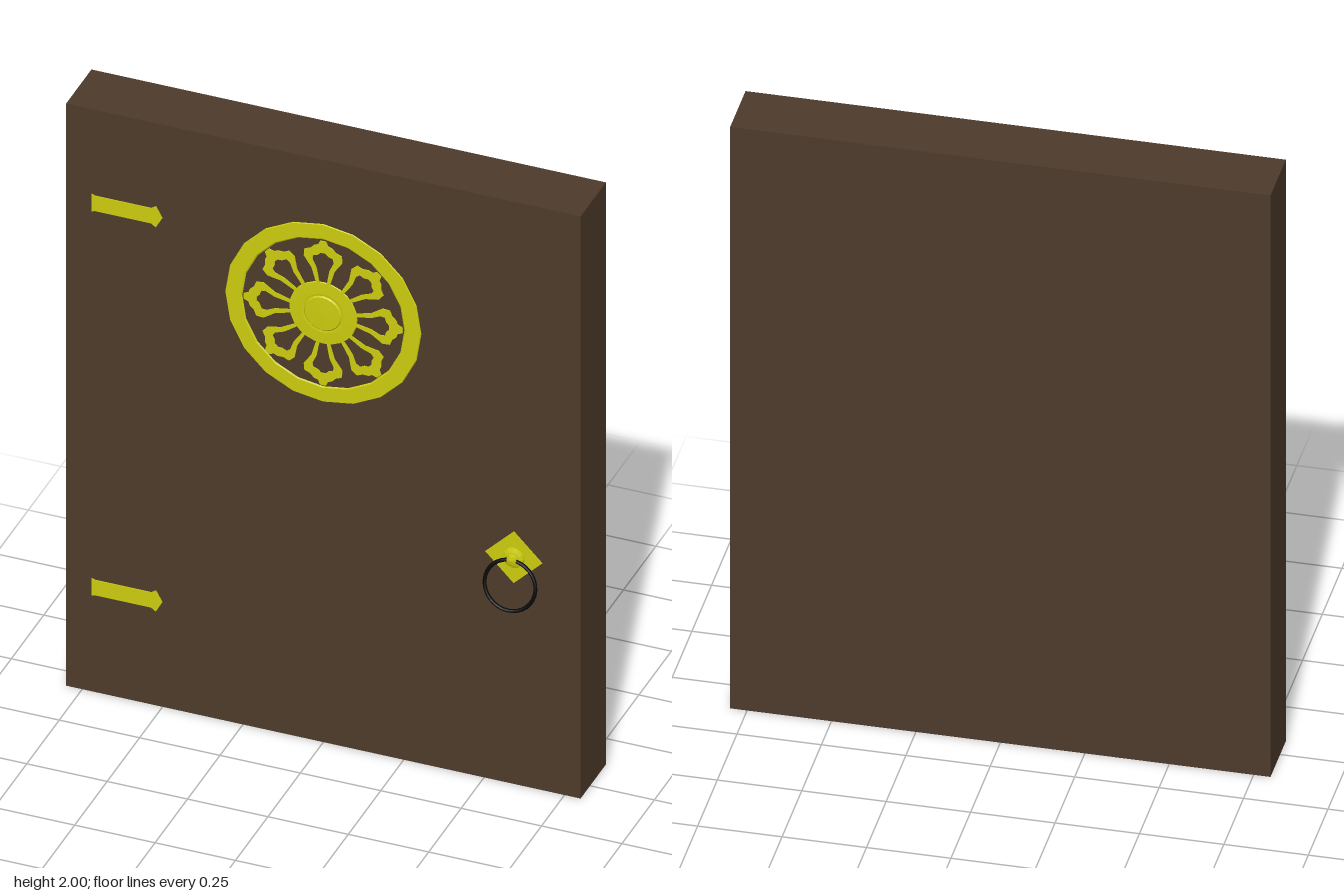
import * as THREE from 'three';

const FACE = 0.073; // z of the door's front surface

const mat = (color) => new THREE.MeshStandardMaterial({ color, flatShading: true });

export function createModel() {
  const group = new THREE.Group();
  const wood = mat(0x4d3b2b), brass = mat(0xcccc10), iron = mat(0x080808);

  const add = (parent, name, geometry, material, x = 0, y = 0, z = 0) => {
    const mesh = new THREE.Mesh(geometry, material);
    mesh.name = name;
    mesh.position.set(x, y, z);
    parent.add(mesh);
    return mesh;
  };
  const plate = (shape, depth) =>
    new THREE.ExtrudeGeometry(shape, { depth, bevelEnabled: false, curveSegments: 5 });
  const points = (list) => list.map(([x, y]) => new THREE.Vector2(x, y));
  // Mirrors a right-hand outline (bottom to top) across x = 0
  const mirrored = (half) => points([...half, ...half.slice().reverse().map(([x, y]) => [-x, y])]);
  // Revolved profile turned so its axis points to +z
  const turned = (profile, sides) => new THREE.LatheGeometry(points(profile), sides).rotateX(Math.PI / 2);

  // Door slab
  add(group, 'doorSlab', new THREE.BoxGeometry(1.6, 2, 0.195), wood, 0, 1, FACE - 0.0975);

  // Round ornament: rim, hub and eight open petals
  const rosette = new THREE.Group();
  rosette.name = 'rosette';
  rosette.position.set(0, 1.475, FACE);
  group.add(rosette);
  add(rosette, 'rosetteRim', turned(
    [[0.252, 0], [0.305, 0], [0.303, 0.003], [0.256, 0.003], [0.252, 0]], 20), brass);
  add(rosette, 'rosetteHub', turned(
    [[0.106, 0], [0.104, 0.003], [0.066, 0.004], [0.059, 0.003], [0.055, 0.007], [0, 0.008]], 24), brass);

  const petal = new THREE.Shape(mirrored([
    [0.02, 0.095], [0.036, 0.15], [0.06, 0.185], [0.058, 0.208], [0.04, 0.215],
    [0.028, 0.228], [0.016, 0.232], [0.009, 0.247],
  ]));
  petal.holes.push(new THREE.Path(mirrored([
    [0.011, 0.1], [0.02, 0.15], [0.033, 0.178], [0.031, 0.192], [0.016, 0.197], [0.007, 0.206],
  ])));
  const petalGeometry = plate(petal, 0.003);
  for (let i = 0; i < 8; i++) {
    add(rosette, 'rosettePetal', petalGeometry, brass).rotation.z = i * Math.PI / 4;
  }

  // Strap hinges with arrow tips
  const strap = new THREE.Shape(points([
    [-0.72, -0.03], [-0.71, -0.026], [-0.535, -0.026], [-0.52, -0.036], [-0.5, 0],
    [-0.52, 0.036], [-0.535, 0.026], [-0.71, 0.026], [-0.72, 0.03],
  ]));
  for (const y of [0.36, 1.68]) add(group, 'hinge', plate(strap, 0.003), brass, 0, y, FACE);

  // Handle: diamond plate, knob and tilted pull ring
  const handle = new THREE.Group();
  handle.name = 'handle';
  handle.position.set(0.593, 0.78, FACE);
  group.add(handle);
  add(handle, 'handlePlate', new THREE.BoxGeometry(0.125, 0.125, 0.006), brass).rotation.z = Math.PI / 4;
  add(handle, 'handleKnob', turned(
    [[0.034, 0], [0.033, 0.008], [0.022, 0.012], [0.016, 0.013], [0.015, 0.022], [0, 0.025]], 12), brass);
  const ring = add(handle, 'pullRing', new THREE.TorusGeometry(0.079, 0.006, 8, 32), iron, 0, -0.079, 0.031);
  ring.rotation.x = -0.19;

  return group;
}
